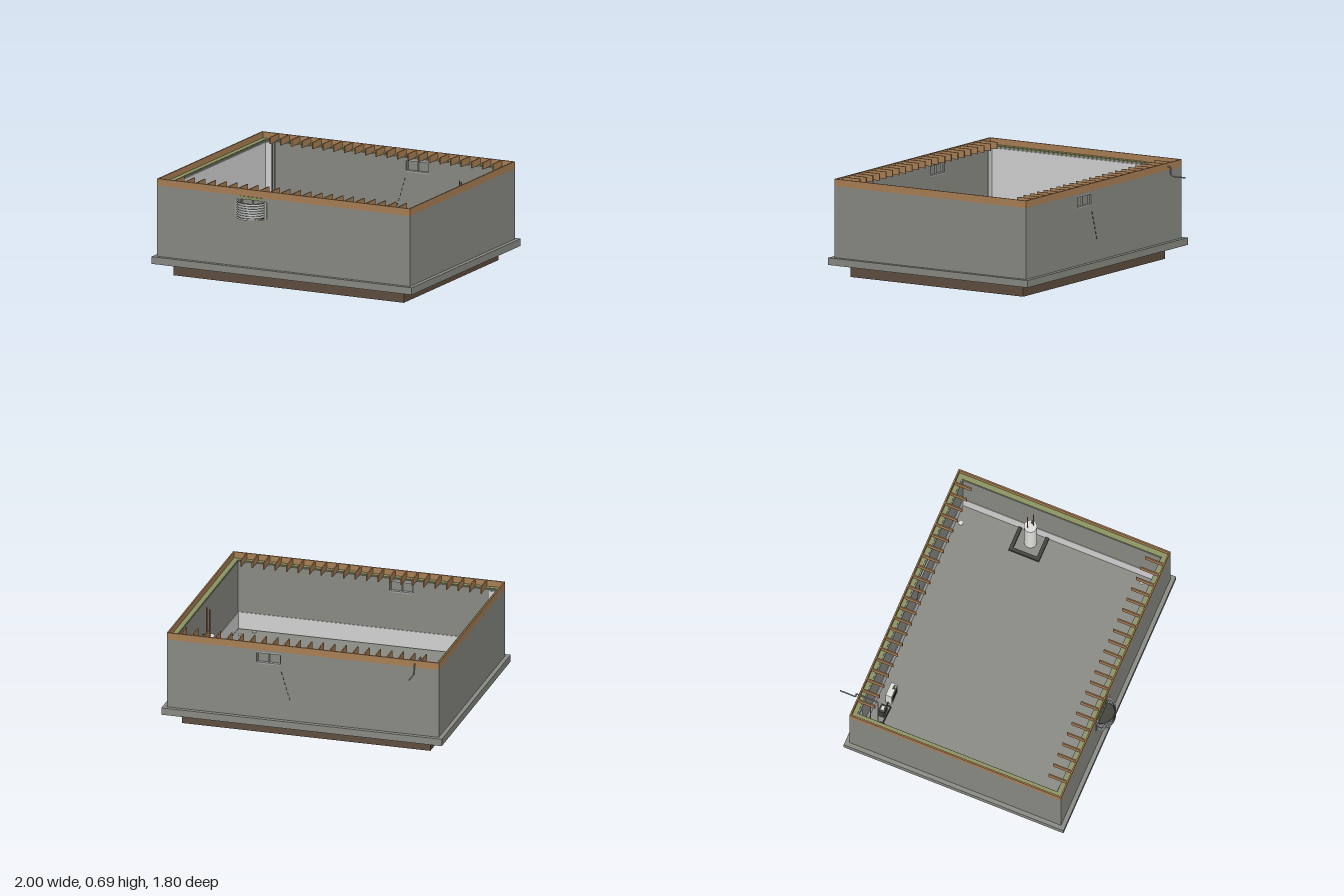
import * as THREE from 'three';

const mat = (name, color) => {
  const m = new THREE.MeshStandardMaterial({ color, side: THREE.DoubleSide });
  m.name = name;
  return m;
};

export function createModel() {
  const root = new THREE.Group();
  root.name = 'basementFoundation';
  const concrete = mat('concrete', 0x8c8c86);
  const soil = mat('soil', 0x604f40);
  const wood = mat('wood', 0xac8156);
  const sillGreen = mat('treatedSill', 0x8c9460);
  const liner = mat('wallLiner', 0xd6d6d6);
  const dark = mat('darkGrey', 0x42423c);
  const white = mat('white', 0xe2e2de);
  const steel = mat('galvanisedSteel', 0xa6aaa8);
  const copper = mat('copper', 0xa8683c);

  const add = (name, geo, m, parent = root) => {
    const mesh = new THREE.Mesh(geo, m);
    mesh.name = name;
    parent.add(mesh);
    return mesh;
  };
  // Box given by its minimum and maximum corners
  const box = (name, m, x0, x1, y0, y1, z0, z1, parent) => {
    const b = add(name, new THREE.BoxGeometry(x1 - x0, y1 - y0, z1 - z0), m, parent);
    b.position.set((x0 + x1) / 2, (y0 + y1) / 2, (z0 + z1) / 2);
    return b;
  };
  // Upright cylinder standing on y0
  const post = (name, m, x, z, r, y0, y1, seg = 24) => {
    const c = add(name, new THREE.CylinderGeometry(r, r, y1 - y0, seg), m);
    c.position.set(x, (y0 + y1) / 2, z);
    return c;
  };
  // Pipe following straight runs between points
  const pipe = (name, m, r, pts) => {
    const path = new THREE.CurvePath();
    const v = pts.map(p => new THREE.Vector3(...p));
    for (let i = 1; i < v.length; i++) path.add(new THREE.LineCurve3(v[i - 1], v[i]));
    add(name, new THREE.TubeGeometry(path, 48, r, 8), m);
  };

  // Ground block, footing and floor slab
  box('soilBase', soil, -0.885, 0.885, 0, 0.09, -0.68, 0.73);
  box('footing', concrete, -1, 1, 0.09, 0.14, -0.79, 0.835);
  box('floorSlab', concrete, -0.915, 0.915, 0.14, 0.145, -0.71, 0.745);

  // Long walls with a window opening each, and plain side walls
  const longWall = (name, z, wx0, wx1) => {
    const s = new THREE.Shape([[-0.97, 0.14], [0.97, 0.14], [0.97, 0.635], [-0.97, 0.635]]
      .map(p => new THREE.Vector2(...p)));
    s.holes.push(new THREE.Path([[wx0, 0.535], [wx0, 0.622], [wx1, 0.622], [wx1, 0.535]]
      .map(p => new THREE.Vector2(...p))));
    const g = new THREE.ExtrudeGeometry(s, { depth: 0.05, bevelEnabled: false });
    add(name, g, concrete).position.z = z;
    // Window frame and pane
    const w = new THREE.Group();
    w.name = name + 'Window';
    root.add(w);
    const zc = z + 0.025;
    box('frameBottom', steel, wx0, wx1, 0.535, 0.545, z, z + 0.05, w);
    box('frameTop', steel, wx0, wx1, 0.612, 0.622, z, z + 0.05, w);
    for (const x of [wx0, (wx0 + wx1) / 2 - 0.004, wx1 - 0.008])
      box('frameUpright', steel, x, x + 0.008, 0.545, 0.612, zc - 0.012, zc + 0.012, w);
    box('pane', concrete, wx0, wx1, 0.545, 0.612, zc - 0.002, zc + 0.002, w);
  };
  longWall('frontWall', 0.755, -0.33, -0.16);
  longWall('backWall', -0.76, 0.16, 0.33);
  for (const s of [-1, 1]) {
    const x = s * 0.945;
    box('sideWall', concrete, x - 0.025, x + 0.025, 0.14, 0.635, -0.71, 0.755);
  }

  // Pale lining: low band all round, full height on one side with corner returns
  box('bandBack', liner, -0.92, 0.92, 0.145, 0.265, -0.71, -0.706);
  box('bandFront', liner, -0.92, 0.92, 0.145, 0.265, 0.751, 0.755);
  box('bandSide', liner, 0.916, 0.92, 0.145, 0.265, -0.71, 0.755);
  box('sideLining', liner, -0.92, -0.916, 0.145, 0.625, -0.71, 0.755);
  box('cornerLiningBack', liner, -0.916, -0.87, 0.265, 0.625, -0.71, -0.706);
  box('cornerLiningFront', liner, -0.916, -0.87, 0.265, 0.625, 0.751, 0.755);

  // Sill plates, rim boards and joist ends
  for (const s of [-1, 1]) {
    const x = s * 0.942, xr = s * 0.965;
    box('sideSill', sillGreen, x - 0.018, x + 0.018, 0.635, 0.642, -0.75, 0.795);
    box('sideRim', wood, xr - 0.005, xr + 0.005, 0.635, 0.685, -0.76, 0.805);
    const z = 0.0225 + s * 0.76, zr = 0.0225 + s * 0.7775;
    box('longSill', sillGreen, -0.924, 0.924, 0.635, 0.642, z - 0.018, z + 0.018);
    box('longRim', wood, -0.96, 0.96, 0.635, 0.685, zr - 0.005, zr + 0.005);
    const [z0, z1] = s < 0 ? [-0.75, -0.625] : [0.66, 0.795];
    for (let i = 0; i < 22; i++) {
      const jx = -0.84 + i * 0.0815;
      box('joist', wood, jx - 0.004, jx + 0.004, 0.637, 0.685, z0, z1);
    }
  }

  // Corrugated half-round window well with flanges and gravel
  const well = new THREE.Group();
  well.name = 'windowWell';
  well.position.set(-0.245, 0, 0.805);
  root.add(well);
  const ribs = [];
  for (let i = 0; i <= 28; i++)
    ribs.push(new THREE.Vector2(0.101 + 0.004 * Math.cos(i * Math.PI / 2), 0.49 + i * 0.12 / 28));
  const shell = new THREE.LatheGeometry(ribs, 24, -Math.PI / 2, Math.PI);
  add('corrugatedShell', shell, steel, well).scale.z = 0.9;
  const gravel = new THREE.CylinderGeometry(0.1, 0.1, 0.01, 24, 1, false, -Math.PI / 2, Math.PI);
  const bed = add('gravel', gravel, dark, well);
  bed.scale.z = 0.88;
  bed.position.y = 0.5;
  for (const s of [-1, 1])
    box('flange', steel, s * 0.108 - 0.01, s * 0.108 + 0.01, 0.49, 0.61, 0, 0.008, well);
  box('windowHead', sillGreen, -0.085, 0.085, 0.618, 0.635, 0, 0.006, well);

  // Dashed crack on both faces of the back wall
  for (const z of [-0.763, -0.709])
    for (let i = 0; i < 6; i++) {
      const c = box('crack', dark, -0.002, 0.002, -0.01, 0.01, -0.002, 0.002);
      c.position.set(0.15 - i * 0.011, 0.48 - i * 0.036, z);
      c.rotation.z = -0.3;
    }

  // Sump pit with discharge pipe through the back wall
  post('sumpLid', dark, -0.81, -0.61, 0.057, 0.145, 0.16, 32);
  post('sumpCap', steel, -0.80, -0.62, 0.011, 0.16, 0.18, 12);
  pipe('dischargePipe', steel, 0.005, [[-0.8, 0.16, -0.62], [-0.8, 0.66, -0.62],
    [-0.8, 0.66, -0.78], [-0.8, 0.595, -0.785], [-0.8, 0.595, -0.9]]);
  post('sumpVent', steel, -0.84, -0.66, 0.004, 0.145, 0.64, 8);

  // Backup battery and dehumidifier
  box('batteryBox', dark, -0.715, -0.655, 0.145, 0.235, -0.655, -0.61);
  box('batteryLabel', white, -0.70, -0.67, 0.235, 0.239, -0.642, -0.623);
  box('dehumidifier', white, -0.605, -0.505, 0.145, 0.285, -0.645, -0.6);
  box('controlPanel', dark, -0.545, -0.515, 0.285, 0.289, -0.62, -0.606);
  for (let i = 0; i < 4; i++)
    box('grilleSlat', dark, -0.595, -0.515, 0.17 + i * 0.025, 0.18 + i * 0.025, -0.6, -0.597);
  pipe('drainHose', dark, 0.004, [[-0.76, 0.165, -0.6], [-0.63, 0.165, -0.595],
    [-0.63, 0.165, -0.625], [-0.605, 0.165, -0.625]]);

  // Water heater with copper pipes inside a three-sided curb
  post('waterHeater', white, 0.85, -0.18, 0.045, 0.145, 0.455, 32);
  for (const s of [-1, 1])
    post('waterPipe', copper, 0.85 + s * 0.015, -0.18 + s * 0.015, 0.004, 0.455, 0.655, 8);
  box('heaterFlue', dark, 0.872, 0.892, 0.452, 0.459, -0.188, -0.172);
  box('curbFront', dark, 0.735, 0.76, 0.145, 0.165, -0.295, -0.07);
  box('curbEnd', dark, 0.76, 0.916, 0.145, 0.165, -0.295, -0.27);
  box('curbEnd', dark, 0.76, 0.916, 0.145, 0.165, -0.095, -0.07);

  // Floor drains
  for (const [x, z] of [[-0.875, 0.635], [0.87, 0.635], [0.79, -0.67], [0.79, 0.71]])
    post('floorDrain', white, x, z, 0.014, 0.145, 0.152, 16);

  return root;
}
